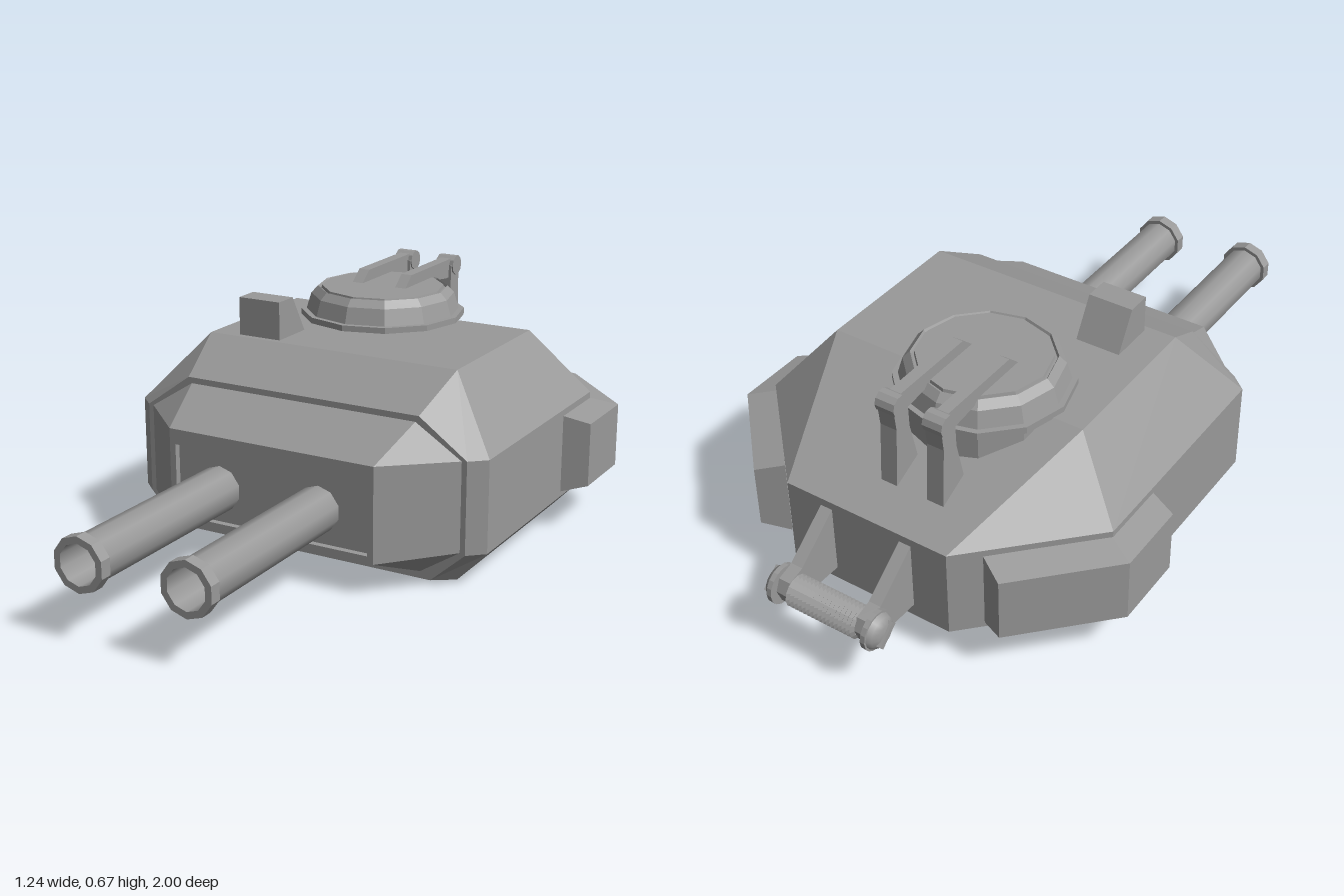
import * as THREE from 'three';

const flat = new THREE.MeshStandardMaterial({ color: 0x999999, flatShading: true, side: THREE.DoubleSide });
const smooth = new THREE.MeshStandardMaterial({ color: 0x999999, side: THREE.DoubleSide });

function part(parent, name, geometry, material = flat) {
  const mesh = new THREE.Mesh(geometry, material);
  mesh.name = name;
  parent.add(mesh);
  return mesh;
}

// Skin a list of equal-length point rings with flat quads.
function loft(rings, closed = true) {
  const pos = [];
  const tri = (...pts) => {
    const [a, b, c] = pts.map(p => new THREE.Vector3(...p));
    if (b.clone().sub(a).cross(c.clone().sub(a)).length() < 1e-8) return;
    pts.forEach(p => pos.push(...p));
  };
  for (let r = 0; r < rings.length - 1; r++) {
    const a = rings[r], b = rings[r + 1], n = a.length;
    for (let i = 0; i < (closed ? n : n - 1); i++) {
      const j = (i + 1) % n;
      tri(a[i], a[j], b[j]);
      tri(a[i], b[j], b[i]);
    }
  }
  const g = new THREE.BufferGeometry();
  g.setAttribute('position', new THREE.Float32BufferAttribute(pos, 3));
  g.computeVertexNormals();
  return g;
}

// Complete a half ring with its mirror image across x = 0.
const mirror = half => [...half, ...half.map(([x, y, z]) => [-x, y, z]).reverse()];

// Extrude a [z, y] outline to a width along x.
function sideProfile(points, x, width) {
  const shape = new THREE.Shape(points.map(p => new THREE.Vector2(...p)));
  return new THREE.ExtrudeGeometry(shape, { depth: width, bevelEnabled: false })
    .translate(0, 0, -width / 2).rotateY(-Math.PI / 2).translate(x, 0, 0);
}

const lathe = (profile, sides) =>
  new THREE.LatheGeometry(profile.map(p => new THREE.Vector2(...p)), sides);

function buildHull(root) {
  const hull = new THREE.Group();
  hull.name = 'hull';
  root.add(hull);

  // Faceted shell, open at the front and underneath
  const waist = y => mirror([[0.5, y, 0.25], [0.545, y, 0.21], [0.545, y, -0.48], [0.25, y, -0.78]]);
  const bottom = mirror([[0.4, 0.01, 0.25], [0.46, 0.01, 0.21], [0.46, 0.01, -0.44], [0.2, 0.01, -0.68]]);
  const shoulder = mirror([[0.36, 0.46, 0.25], [0.39, 0.548, 0.09], [0.39, 0.548, -0.38], [0.39, 0.548, -0.38]]);
  part(hull, 'hullShell', loft([bottom, waist(0.1), waist(0.36), shoulder], false));
  part(hull, 'roof', loft([[0.36, 0.46, 0.25], [0.39, 0.548, 0.09], [0.39, 0.548, -0.38]]
    .map(([x, y, z]) => [[-x, y, z], [x, y, z]]), false));

  // Underside rim around an opening that is round at the rear
  const level = (y, pts) => mirror(pts.map(([x, z]) => [x, y, z]));
  part(hull, 'bottomRim', loft([
    level(0, [[0.36, 0.2], [0.4, 0.16], [0.4, -0.2], [0.346, -0.4], [0.246, -0.515], [0.104, -0.586]]),
    level(0.01, [[0.4, 0.25], [0.46, 0.21], [0.46, -0.2], [0.46, -0.44], [0.33, -0.56], [0.2, -0.68]]),
  ]));

  // Stepped nose
  part(hull, 'nose', loft([
    mirror([[0.4, 0.01, 0.25], [0.5, 0.1, 0.25], [0.5, 0.36, 0.25], [0.36, 0.46, 0.25]]),
    mirror([[0.37, 0.03, 0.25], [0.485, 0.105, 0.25], [0.485, 0.358, 0.25], [0.35, 0.443, 0.25]]),
    mirror([[0.315, 0.095, 0.41], [0.315, 0.095, 0.41], [0.315, 0.363, 0.41], [0.315, 0.363, 0.41]]),
  ]));

  // Front plate with a recessed panel
  const rect = (C, x, y0, y1) => new C([[-x, y0], [x, y0], [x, y1], [-x, y1]].map(p => new THREE.Vector2(...p)));
  const frame = rect(THREE.Shape, 0.315, 0.095, 0.363);
  frame.holes.push(rect(THREE.Path, 0.297, 0.115, 0.32));
  part(hull, 'frontFrame', new THREE.ExtrudeGeometry(frame, { depth: 0.018, bevelEnabled: false })
    .translate(0, 0, 0.392));
  part(hull, 'frontPanel', new THREE.PlaneGeometry(0.63, 0.268).translate(0, 0.229, 0.39));

  // Bent stowage boxes wrapping the rear corners
  const bend = (path, y0, y1) => [
    ...path.map(([x, z]) => [x, y0, z]),
    ...path.map(([x, z]) => [x, y1, z]).reverse(),
  ];
  const inner = [[0.543, -0.28], [0.543, -0.48], [0.315, -0.715]];
  const outer = [[0.618, -0.305], [0.618, -0.52], [0.388, -0.757]];
  for (const [name, s] of [['leftStowageBox', 1], ['rightStowageBox', -1]]) {
    part(hull, name, loft([
      bend(inner, 0.115, 0.342), bend(outer, 0.137, 0.322), bend(outer, 0.23, 0.23),
    ])).scale.x = s;
  }
}

function buildGun(root, name, x, tip) {
  // Tube with a muzzle collar and a hollow bore
  const gun = new THREE.Group();
  gun.name = name;
  gun.position.set(x, 0.21, 0);
  root.add(gun);
  const along = profile => lathe(profile, 10).rotateX(Math.PI / 2);
  part(gun, 'barrel', along([[0.064, 0.37], [0.064, tip - 0.03]]), smooth);
  part(gun, 'breechEnd', along([[0, 0.37], [0.064, 0.37]]));
  part(gun, 'muzzle', along([[0.06, tip - 0.034], [0.075, tip - 0.034], [0.075, tip], [0.056, tip]]));
  part(gun, 'bore', along([[0.056, tip], [0.056, 0.45], [0, 0.45]]), smooth);
}

function buildRoofFittings(root) {
  // Cupola with a wall reaching the rear slope, a flange and a sunken lid
  const cupola = part(root, 'cupola', lathe([
    [0.226, 0.44], [0.226, 0.545], [0.242, 0.545], [0.242, 0.565], [0.226, 0.565], [0.212, 0.612],
    [0.192, 0.633], [0.188, 0.626], [0.182, 0.626], [0.18, 0.635], [0, 0.635],
  ], 12));
  cupola.position.set(-0.07, 0, -0.345);

  // Hinge arms holding the lid
  for (const [i, x] of [-0.147, -0.004].entries()) {
    const hinge = new THREE.Group();
    hinge.name = i ? 'leftLidHinge' : 'rightLidHinge';
    root.add(hinge);
    part(hinge, 'arm', sideProfile([[-0.325, 0.63], [-0.37, 0.668], [-0.65, 0.668],
      [-0.65, 0.612], [-0.6, 0.612], [-0.42, 0.633]], x, 0.034));
    part(hinge, 'bracket', sideProfile([[-0.618, 0.65], [-0.675, 0.65], [-0.667, 0.58],
      [-0.68, 0.39], [-0.585, 0.43], [-0.615, 0.56]], x, 0.05));
    part(hinge, 'pivot', new THREE.CylinderGeometry(0.03, 0.03, 0.058, 10)
      .rotateZ(Math.PI / 2).translate(x, 0.646, -0.65));
  }

  // Wedge-backed sight housing
  part(root, 'sightHousing', sideProfile(
    [[0.072, 0.54], [0.072, 0.657], [0, 0.657], [-0.067, 0.54]], -0.238, 0.132));
}

function buildRearRoller(root) {
  const roller = new THREE.Group();
  roller.name = 'rearRoller';
  root.add(roller);
  const y = 0.19, z = -0.942;

  // Tapered support plates, outer discs and slotted domed bolt heads
  for (const s of [-1, 1]) {
    part(roller, 'supportPlate', sideProfile([[-0.77, 0.345], [-0.91, 0.238], [-0.96, 0.225],
      [-0.975, 0.19], [-0.96, 0.15], [-0.93, 0.143], [-0.77, 0.137]], s * 0.124, 0.036));
    part(roller, 'disc', new THREE.CylinderGeometry(0.055, 0.055, 0.014, 16)
      .rotateZ(Math.PI / 2).translate(s * 0.148, y, z));
    part(roller, 'boltHead', lathe([[0.05, 0.154], [0.043, 0.168], [0.026, 0.178], [0, 0.18]], 16)
      .rotateZ(-s * Math.PI / 2).translate(0, y, z), smooth);
    part(roller, 'boltBar', new THREE.BoxGeometry(0.016, 0.016, 0.07)
      .rotateX(-0.7).translate(s * 0.178, y, z));
  }

  // Ridged coil between the plates
  const ridges = 17, coil = [];
  for (let i = 0; i <= ridges * 2; i++) {
    coil.push([i % 2 ? 0.045 : 0.034, -0.108 + 0.216 * i / (ridges * 2)]);
  }
  part(roller, 'coil', lathe(coil, 14).rotateZ(Math.PI / 2).translate(0, y, z));
}

export function createModel() {
  const root = new THREE.Group();
  root.name = 'turret';
  buildHull(root);
  buildGun(root, 'rightGun', -0.168, 1);
  buildGun(root, 'leftGun', 0.14, 0.99);
  buildRoofFittings(root);
  buildRearRoller(root);
  return root;
}
